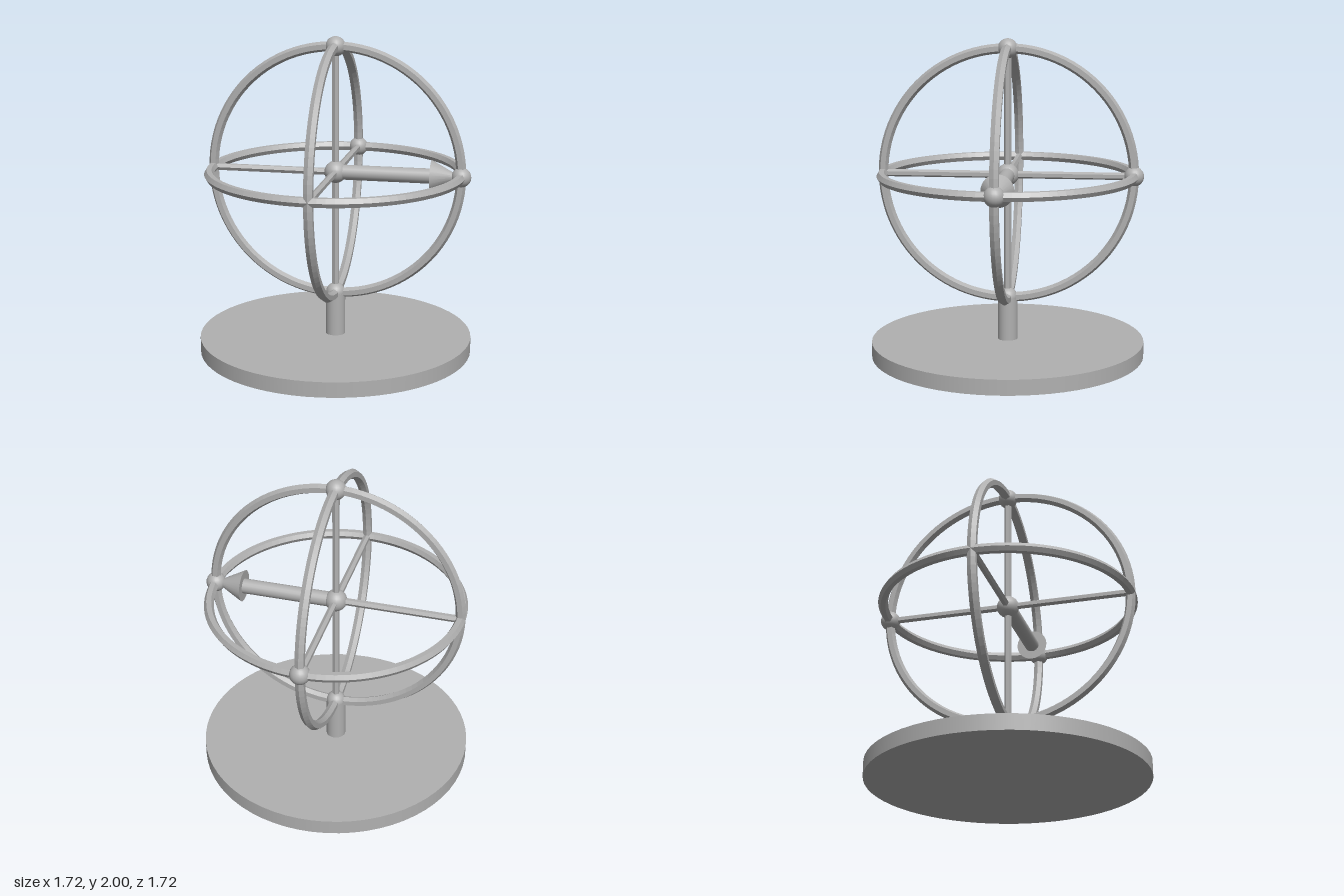
import * as THREE from 'three';

export function createModel() {
  const model = new THREE.Group();
  model.name = 'sphereDiagram';
  const grey = new THREE.MeshStandardMaterial({ color: 0xb0b0b0 });
  grey.name = 'plain grey';

  const CY = 1.153; // height of the sphere's centre
  const R = 0.785; // ring radius

  const add = (name, geometry, parent) => {
    const mesh = new THREE.Mesh(geometry, grey);
    mesh.name = name;
    parent.add(mesh);
    return mesh;
  };
  // Separate the faces so that each gets its own flat normal
  const faceted = (geometry) => {
    const flat = geometry.toNonIndexed();
    flat.computeVertexNormals();
    return flat;
  };

  // Round base and short stand
  add('base', new THREE.CylinderGeometry(0.862, 0.862, 0.096, 64), model).position.y = 0.048;
  add('stand', new THREE.CylinderGeometry(0.062, 0.062, 0.27, 24), model).position.y = 0.23;

  const sphere = new THREE.Group();
  sphere.name = 'wireSphere';
  sphere.position.y = CY;
  model.add(sphere);

  // Three great circles with six-sided section
  const ring = faceted(new THREE.TorusGeometry(R, 0.031, 6, 96));
  add('frontRing', ring, sphere);
  add('sideRing', ring, sphere).rotation.y = Math.PI / 2;
  add('equatorRing', ring, sphere).rotation.x = -Math.PI / 2;

  // Three thin axes through the centre
  const rod = faceted(new THREE.CylinderGeometry(0.023, 0.023, 2 * R, 6));
  add('verticalAxis', rod, sphere);
  add('sideAxis', rod, sphere).rotation.z = -Math.PI / 2;
  add('depthAxis', rod, sphere).rotation.x = Math.PI / 2;

  // Balls at the poles, two equator points and the centre
  const ball = new THREE.SphereGeometry(0.062, 20, 14);
  const ends = { topBall: [0, R, 0], bottomBall: [0, -R, 0], leftBall: [R, 0, 0], backBall: [0, 0, -R] };
  for (const [name, p] of Object.entries(ends)) add(name, ball, sphere).position.set(...p);
  add('centreBall', new THREE.SphereGeometry(0.07, 20, 14), sphere);

  // Arrow from the centre towards the left
  const arrow = new THREE.Group();
  arrow.name = 'arrow';
  arrow.rotation.z = -Math.PI / 2;
  sphere.add(arrow);
  add('arrowShaft', new THREE.CylinderGeometry(0.047, 0.047, 0.6, 20), arrow).position.y = 0.3;
  add('arrowHead', new THREE.ConeGeometry(0.1, 0.19, 24), arrow).position.y = 0.695;

  return model;
}
